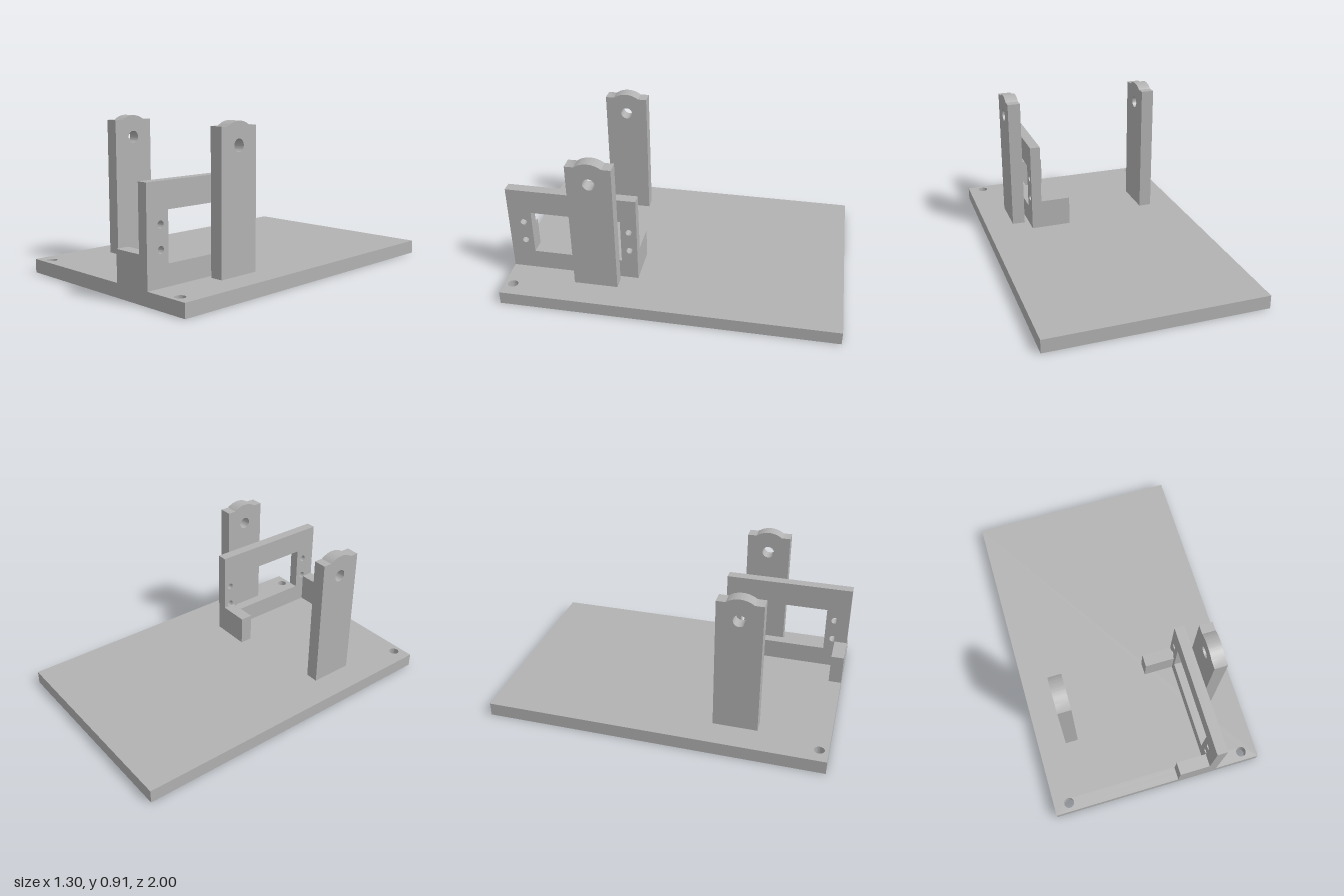
import * as THREE from 'three';
import { toCreasedNormals } from 'three/addons/utils/BufferGeometryUtils.js';

const BASE_TOP = 0.08;

function rect(x0, y0, x1, y1, Type = THREE.Shape) {
  const s = new Type();
  s.moveTo(x0, y0);
  s.lineTo(x1, y0);
  s.lineTo(x1, y1);
  s.lineTo(x0, y1);
  s.closePath();
  return s;
}

function addHole(shape, x, y, r) {
  shape.holes.push(new THREE.Path().absarc(x, y, r, 0, Math.PI * 2, true));
}

function extrude(shape, depth) {
  return new THREE.ExtrudeGeometry(shape, { depth, bevelEnabled: false, curveSegments: 20 });
}

// Extrudes a (z, y) profile across x0..x1
function sidePlate(shape, x0, x1) {
  return toCreasedNormals(extrude(shape, x1 - x0).rotateY(-Math.PI / 2).translate(x1, 0, 0), 0.6);
}

export function createModel() {
  const group = new THREE.Group();
  const grey = new THREE.MeshStandardMaterial({ color: 0xb2b2b2 });
  grey.name = 'grey';
  const add = (name, geometry) => {
    const mesh = new THREE.Mesh(geometry, grey);
    mesh.name = name;
    group.add(mesh);
  };

  // Base plate with two screw holes at the front corners
  const base = rect(-0.65, -1, 0.65, 1);
  for (const side of [-1, 1]) addHole(base, side * 0.557, 0.947, 0.03);
  add('basePlate', toCreasedNormals(
    extrude(base, BASE_TOP).rotateX(Math.PI / 2).translate(0, BASE_TOP, 0), 0.6));

  // Pivot posts: flat shoulders and a rounded crown around the pin hole
  const [zc, yc, r, shoulder] = [0.456, 0.781, 0.13, 0.885];
  const angle = Math.asin((shoulder - yc) / r);
  const post = new THREE.Shape();
  post.moveTo(zc - 0.131, BASE_TOP);
  post.lineTo(zc + 0.131, BASE_TOP);
  post.lineTo(zc + 0.131, shoulder);
  post.absarc(zc, yc, r, angle, Math.PI - angle, false);
  post.lineTo(zc - 0.131, shoulder);
  post.closePath();
  addHole(post, zc, yc, 0.036);
  add('leftPost', sidePlate(post, 0.402, 0.48));
  add('rightPost', sidePlate(post, -0.48, -0.402));

  // Motor frame with window and four mounting holes
  const frame = rect(0.222, BASE_TOP, 1, 0.627);
  frame.holes.push(rect(0.319, 0.2, 0.859, 0.478, THREE.Path));
  for (const z of [0.268, 0.91]) {
    for (const y of [0.278, 0.408]) addHole(frame, z, y, 0.02);
  }
  add('motorFrame', sidePlate(frame, 0.312, 0.374));

  // Support blocks behind both ends of the frame
  for (const [name, z0, z1] of [['rearSupport', 0.222, 0.298], ['frontSupport', 0.924, 1]]) {
    add(name, new THREE.BoxGeometry(0.184, 0.18, z1 - z0)
      .translate(0.22, BASE_TOP + 0.09, (z0 + z1) / 2));
  }
  return group;
}
